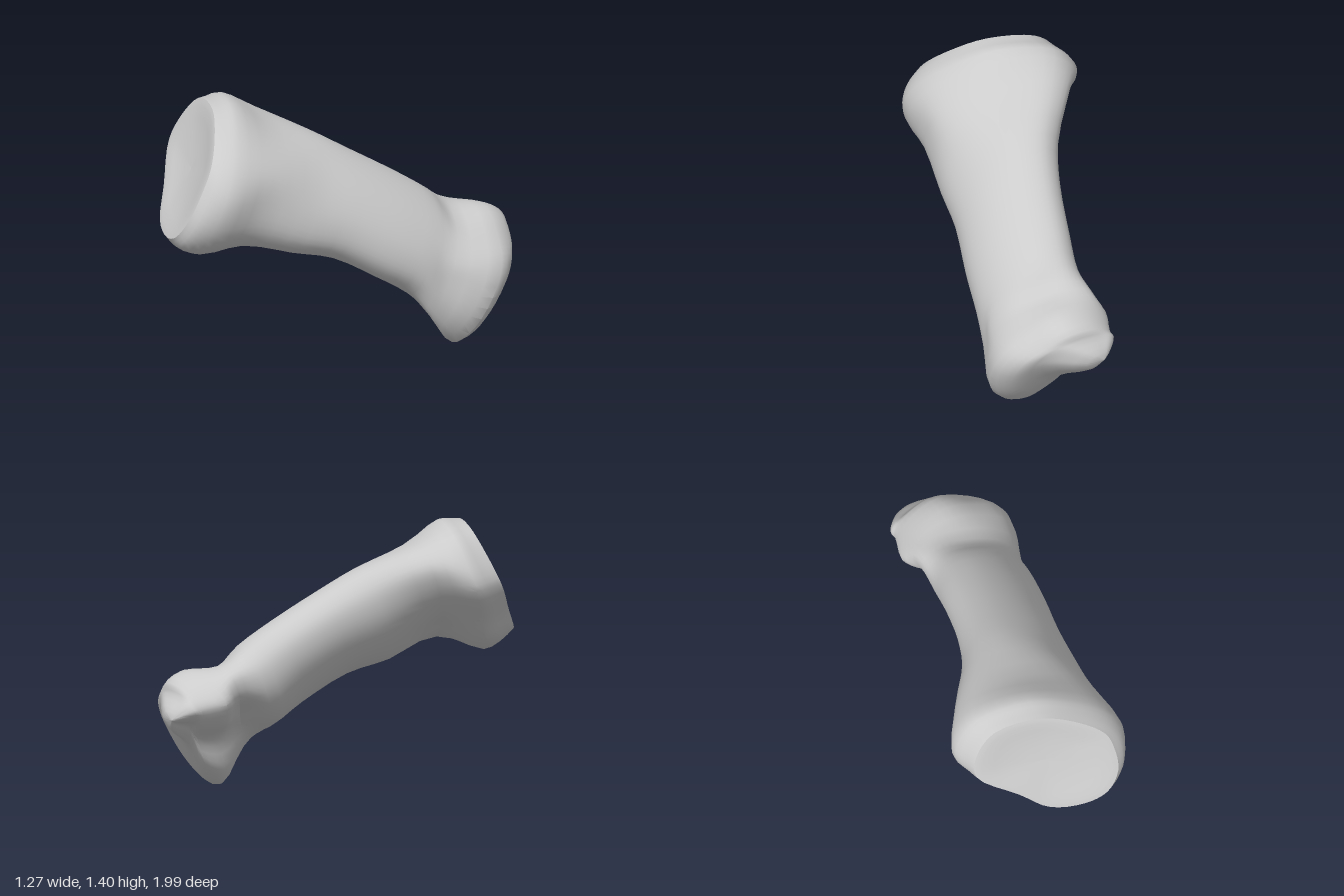
import * as THREE from 'three';
import { toCreasedNormals } from 'three/addons/utils/BufferGeometryUtils.js';

const AROUND = 48;

// A section is an outline in x, y lying on the slanted plane z = k + b x + c y.
const section = (outline, k, b = 0.4, c = -0.45) =>
  outline.map(([x, y]) => new THREE.Vector3(x, y, k + b * x + c * y));

const scaled = (outline, s, cx, cy) =>
  outline.map(([x, y]) => [cx + (x - cx) * s, cy + (y - cy) * s]);

const halfway = (p, q) => p.map(([x, y], i) => [(x + q[i][0]) / 2, (y + q[i][1]) / 2]);

// Oval shaft outline: long axis across the bone, short axis from palm to back.
function oval(cx, cy, long, short) {
  return Array.from({ length: 12 }, (_, i) => {
    const t = (i - 10.5) * Math.PI / 6;
    const u = long * Math.cos(t), v = short * Math.sin(t);
    return [cx + 0.68 * u + 0.73 * v, cy - 0.73 * u + 0.68 * v];
  });
}

// Smooth skin through the sections, lengthwise and then around.
function loft(sections, steps) {
  const rails = sections[0].map((_, i) =>
    new THREE.CatmullRomCurve3(sections.map((s) => s[i]), false, 'centripetal'));
  const rows = (sections.length - 1) * steps;
  const positions = [], index = [];
  for (let j = 0; j <= rows; j++) {
    const ring = new THREE.CatmullRomCurve3(rails.map((r) => r.getPoint(j / rows)), true, 'centripetal');
    for (let i = 0; i < AROUND; i++) positions.push(...ring.getPoint(i / AROUND).toArray());
  }
  for (let j = 0; j < rows; j++) {
    for (let i = 0; i < AROUND; i++) {
      const n = (i + 1) % AROUND;
      const a = j * AROUND + i, b = a + AROUND, c = j * AROUND + n, d = c + AROUND;
      index.push(a, b, c, c, b, d);
    }
  }
  const geometry = new THREE.BufferGeometry();
  geometry.setAttribute('position', new THREE.Float32BufferAttribute(positions, 3));
  geometry.setIndex(index);
  return toCreasedNormals(geometry, 0.6);
}

export function createModel() {
  const group = new THREE.Group();
  group.name = 'fingerBone';
  const material = new THREE.MeshStandardMaterial({ color: 0xcccccc });
  const add = (name, geometry) => {
    const mesh = new THREE.Mesh(geometry, material);
    mesh.name = name;
    group.add(mesh);
  };

  // Outlines run counter-clockwise from the right-hand side.
  const rim = [[0.04, 1.08], [0.03, 1.18], [-0.06, 1.29], [-0.22, 1.38], [-0.45, 1.36], [-0.58, 1.23],
    [-0.62, 1.1], [-0.47, 0.92], [-0.36, 0.79], [-0.2, 0.76], [-0.08, 0.8], [0.01, 0.92]];
  const head = [[0.17, 1.0], [0.14, 1.14], [0.03, 1.27], [-0.2, 1.39], [-0.47, 1.35], [-0.6, 1.21],
    [-0.63, 1.08], [-0.48, 0.87], [-0.38, 0.74], [-0.2, 0.66], [-0.02, 0.69], [0.11, 0.82]];
  const neck = [[0.19, 0.97], [0.17, 1.09], [0.07, 1.19], [-0.14, 1.27], [-0.36, 1.28], [-0.47, 1.2],
    [-0.46, 1.07], [-0.36, 0.93], [-0.22, 0.83], [-0.07, 0.74], [0.06, 0.71], [0.16, 0.81]];
  const flare = [[0.51, 0.39], [0.51, 0.48], [0.44, 0.59], [0.3, 0.66], [0.15, 0.69], [0.05, 0.65],
    [0.05, 0.55], [0.17, 0.44], [0.26, 0.34], [0.33, 0.23], [0.43, 0.18], [0.49, 0.26]];
  const condyle = [[0.63, 0.33], [0.6, 0.46], [0.5, 0.56], [0.34, 0.66], [0.17, 0.65], [0.04, 0.58],
    [0.01, 0.52], [0.09, 0.4], [0.24, 0.29], [0.29, 0.11], [0.42, 0], [0.56, 0.11]];
  const crescent = [[0.46, 0.42], [0.44, 0.48], [0.38, 0.54], [0.28, 0.56], [0.17, 0.55], [0.1, 0.53],
    [0.07, 0.49], [0.12, 0.43], [0.21, 0.39], [0.26, 0.32], [0.33, 0.26], [0.42, 0.33]];

  // Head, shaft and two-lobed rear end in one skin
  add('shaft', loft([
    section(rim, 1.455, 0.488, -0.53),
    section(halfway(rim, head), 1.36, 0.488, -0.5),
    section(head, 1.14, 0.488, -0.4),
    section(neck, 0.95),
    section(oval(0, 0.89, 0.31, 0.22), 0.6),
    section(oval(0.09, 0.8, 0.275, 0.2), 0.324),
    section(oval(0.185, 0.66, 0.27, 0.2), 0),
    section(oval(0.245, 0.54, 0.265, 0.205), -0.25),
    section(flare, -0.42),
    section(condyle, -0.53, 0.1, -0.45),
    section(scaled(condyle, 0.82, 0.33, 0.36), -0.65, 0.15, -0.5),
    section(crescent, -0.69, 0.15, -0.5),
    section(scaled(crescent, 0.35, 0.18, 0.44), -0.845, 0, -0.3),
    section(scaled(crescent, 0.002, 0.18, 0.44), -0.866, 0, -0.3),
  ], 3));

  // Shallow hollow joint surface on the front of the head
  const dish = (s, k) => section(scaled(rim, s, -0.27, 1.07), k, 0.488, -0.53);
  add('jointFace', loft([dish(0.002, 1.42), dish(0.5, 1.43), dish(0.9, 1.455), dish(1, 1.455)], 2));

  return group;
}
